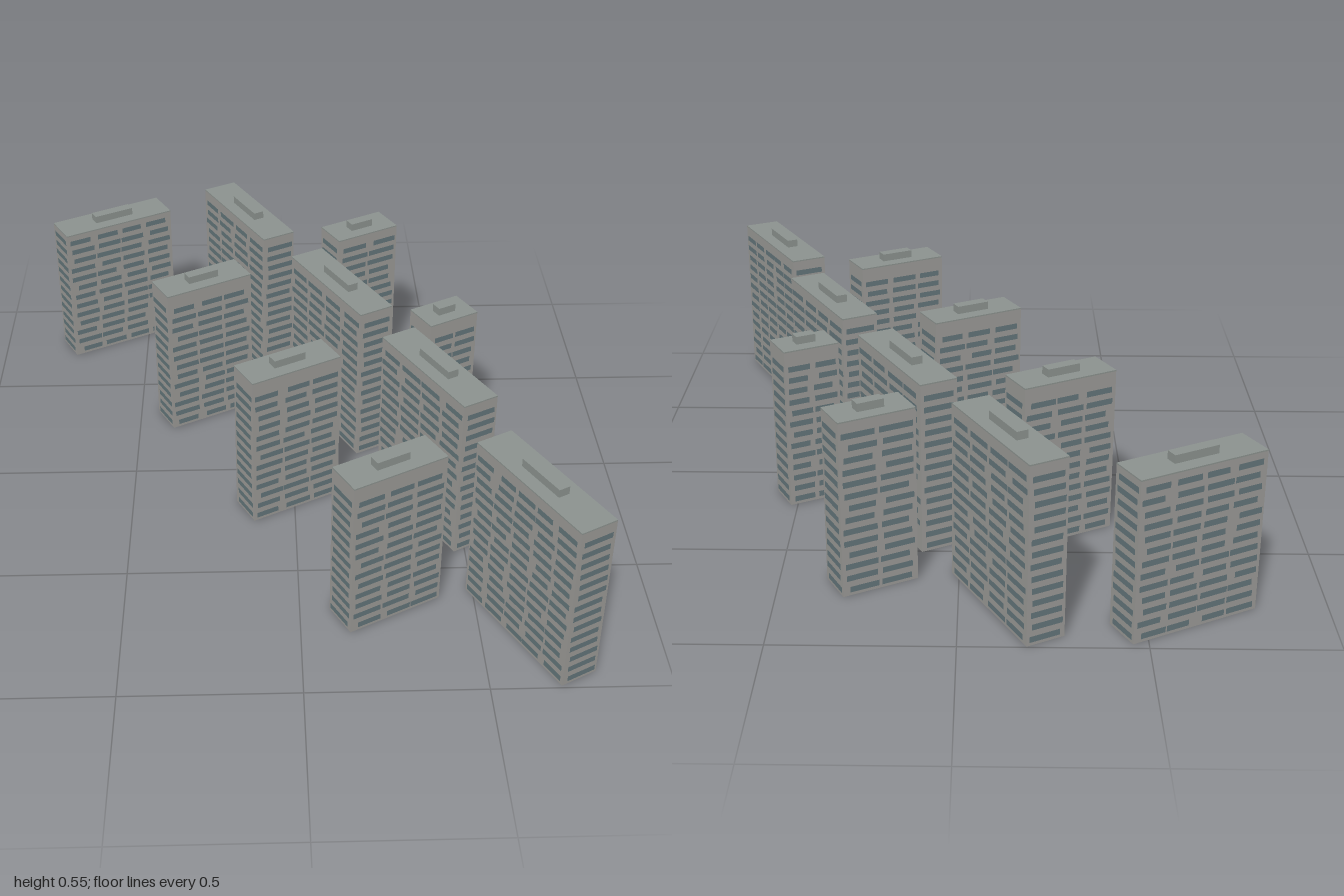
import * as THREE from 'three';
import { mergeGeometries } from 'three/addons/utils/BufferGeometryUtils.js';

const wallMat = new THREE.MeshStandardMaterial({ color: 0x9b9a97 });
const roofMat = new THREE.MeshStandardMaterial({ color: 0x8c938f });
const glassMat = new THREE.MeshStandardMaterial({ color: 0x63757a });

const ANGLE = THREE.MathUtils.degToRad(28.2);
const DEPTH = 0.114;   // thickness of every slab block
const FLOOR = 0.0355;  // storey height
const ROOF = 0.004;

function box(name, w, h, d, y, mat) {
  const mesh = new THREE.Mesh(new THREE.BoxGeometry(w, h, d), mat);
  mesh.position.y = y + h / 2;
  mesh.name = name;
  return mesh;
}

// Rows of window bands on all four sides, with staggered joints
function windowBands(length, height, seed) {
  let s = seed * 7919 + 17;
  const rand = () => (s = (s * 16807) % 2147483647) / 2147483647;
  const panes = [];
  const rows = Math.floor((height - 0.012) / FLOOR);
  for (let side = 0; side < 4; side++) {
    const long = side % 2 === 0;
    const width = long ? length : DEPTH;
    const out = (long ? DEPTH : length) / 2 + 0.001;
    const bays = long ? Math.max(2, Math.round(width / 0.1)) : 1;
    const bay = (width - 0.012) / bays;
    for (let row = 0; row < rows; row++) {
      for (let b = 0; b < bays; b++) {
        const w = bay * (long ? 0.72 + 0.22 * rand() : 0.9);
        const slack = bay - w;
        const x = -width / 2 + 0.006 + b * bay + w / 2 + slack * rand();
        const pane = new THREE.PlaneGeometry(w, 0.0175);
        pane.translate(x, 0.018 + row * FLOOR, out);
        pane.rotateY(side * Math.PI / 2);
        panes.push(pane);
      }
    }
  }
  const mesh = new THREE.Mesh(mergeGeometries(panes), glassMat);
  mesh.name = 'windowBands';
  return mesh;
}

function building(name, x, z, length, height, crosswise, seed) {
  const g = new THREE.Group();
  g.name = name;
  g.add(
    box('walls', length, height - ROOF, DEPTH, 0, wallMat),
    box('roofSlab', length, ROOF, DEPTH, height - ROOF, roofMat),
    box('roofHousing', length * 0.35, 0.024, 0.034, height, roofMat),
    windowBands(length, height, seed)
  );
  g.position.set(x, 0, z);
  g.rotation.y = ANGLE + (crosswise ? Math.PI / 2 : 0);
  return g;
}

export function createModel() {
  const model = new THREE.Group();
  model.name = 'apartmentBlocks';
  // name, x, z, length, height, turned crosswise
  const blocks = [
    ['westBlock1', -0.603, -0.839, 0.39, 0.475, false],
    ['westBlock2', -0.284, -0.357, 0.297, 0.502, false],
    ['westBlock3', -0.021, 0.143, 0.297, 0.502, false],
    ['westBlock4', 0.243, 0.648, 0.297, 0.502, false],
    ['middleBlock1', -0.131, -0.783, 0.425, 0.523, true],
    ['middleBlock2', 0.159, -0.291, 0.425, 0.523, true],
    ['middleBlock3', 0.417, 0.212, 0.425, 0.523, true],
    ['middleBlock4', 0.638, 0.767, 0.45, 0.523, true],
    ['eastBlock1', 0.241, -0.655, 0.226, 0.523, false],
    ['eastBlock2', 0.471, -0.131, 0.172, 0.502, false]
  ];
  blocks.forEach((b, i) => model.add(building(...b, i + 1)));
  return model;
}
